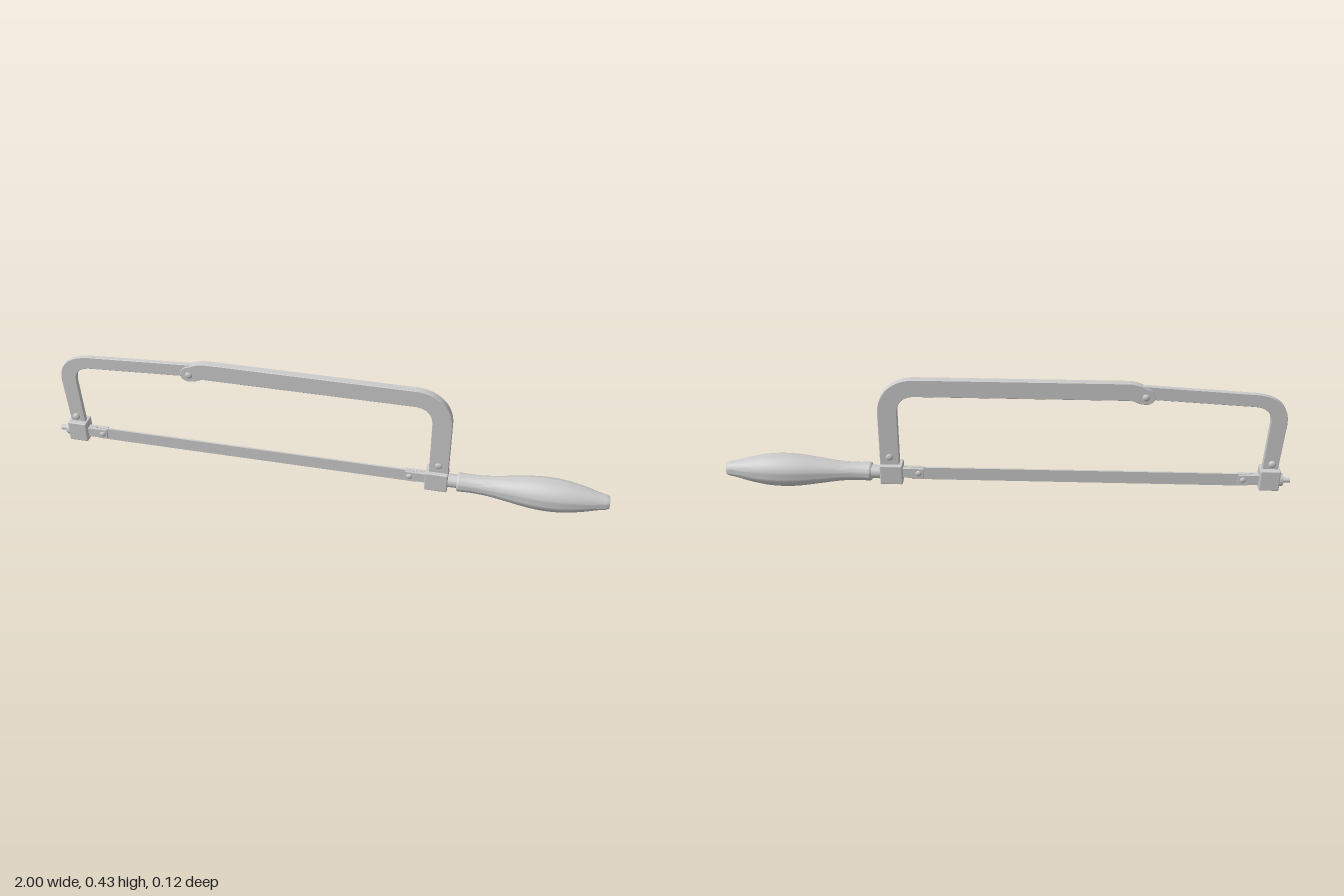
import * as THREE from 'three';
import { RoundedBoxGeometry } from 'three/addons/geometries/RoundedBoxGeometry.js';
import { toCreasedNormals } from 'three/addons/utils/BufferGeometryUtils.js';

export function createModel() {
  const model = new THREE.Group();
  const grey = new THREE.MeshStandardMaterial({ color: 0xcccccc });
  const axisY = 0.061, midZ = -0.002;

  function add(name, geometry, x = 0, y = 0, z = midZ) {
    const mesh = new THREE.Mesh(geometry, grey);
    mesh.name = name;
    mesh.position.set(x, y, z);
    model.add(mesh);
    return mesh;
  }

  // Flat plate cut from a side outline, centred on its thickness
  function plate(name, shape, depth) {
    const bevel = 0.0015;
    const g = new THREE.ExtrudeGeometry(shape, {
      depth: depth - 2 * bevel, bevelThickness: bevel, bevelSize: bevel,
      bevelOffset: -bevel, bevelSegments: 1, curveSegments: 14,
    });
    g.translate(0, 0, bevel - depth / 2);
    return add(name, toCreasedNormals(g, 0.5));
  }

  // Domed rivet showing on both faces
  function rivet(name, x, y, r, reach) {
    const group = new THREE.Group();
    group.name = name;
    group.position.set(x, y, midZ);
    const shaft = new THREE.Mesh(new THREE.CylinderGeometry(r, r, reach * 1.3, 20), grey);
    shaft.rotation.x = Math.PI / 2;
    group.add(shaft);
    for (const side of [1, -1]) {
      const dome = new THREE.Mesh(new THREE.SphereGeometry(r, 20, 6, 0, Math.PI * 2, 0, Math.PI / 2), grey);
      dome.rotation.x = side * Math.PI / 2;
      dome.scale.y = reach * 0.35 / r;
      dome.position.z = side * reach * 0.65;
      group.add(dome);
    }
    model.add(group);
  }

  // Cylinder lying along x
  function rod(name, x0, x1, r0, r1 = r0, sides = 24) {
    const g = new THREE.CylinderGeometry(r1, r0, x1 - x0, sides);
    g.rotateZ(-Math.PI / 2);
    return add(name, g, (x0 + x1) / 2, axisY);
  }

  // Rear half of the bow: leg, round corner, top bar and pivot lobe
  const rear = new THREE.Shape();
  rear.moveTo(0.445, 0.08);
  rear.lineTo(0.445, 0.3);
  rear.bezierCurveTo(0.445, 0.375, 0.39, 0.43, 0.315, 0.43);
  rear.lineTo(-0.42, 0.43);
  rear.quadraticCurveTo(-0.45, 0.427, -0.475, 0.413);
  rear.bezierCurveTo(-0.515, 0.408, -0.52, 0.352, -0.478, 0.352);
  rear.quadraticCurveTo(-0.455, 0.353, -0.44, 0.362);
  rear.quadraticCurveTo(-0.432, 0.366, -0.42, 0.366);
  rear.lineTo(0.315, 0.366);
  rear.bezierCurveTo(0.355, 0.366, 0.377, 0.34, 0.377, 0.3);
  rear.lineTo(0.377, 0.08);
  plate('rearFrame', rear, 0.027);

  // Front half of the bow, thinner and sloping toward the toe
  const front = new THREE.Shape();
  front.moveTo(-0.896, 0.08);
  front.lineTo(-0.906, 0.285);
  front.bezierCurveTo(-0.907, 0.33, -0.885, 0.346, -0.845, 0.349);
  front.lineTo(-0.46, 0.371);
  front.lineTo(-0.46, 0.419);
  front.lineTo(-0.83, 0.397);
  front.bezierCurveTo(-0.91, 0.395, -0.963, 0.365, -0.963, 0.285);
  front.lineTo(-0.95, 0.08);
  plate('frontFrame', front, 0.017);

  rivet('pivotRivet', -0.476, 0.379, 0.013, 0.02);
  rivet('frontLegRivet', -0.929, 0.128, 0.013, 0.019);
  rivet('rearLegRivet', 0.41, 0.128, 0.013, 0.019);

  // Square sockets at the feet of the bow
  add('frontBlock', new RoundedBoxGeometry(0.07, 0.078, 0.056, 2, 0.004), -0.925, 0.069);
  add('rearBlock', new RoundedBoxGeometry(0.08, 0.074, 0.056, 2, 0.004), 0.406, 0.062);

  // Blade with a square-cut outline
  add('blade', new THREE.BoxGeometry(1.19, 0.047, 0.007), -0.26, 0.059);

  // Forked blade holders: two cheeks and a stub, with a pin through the blade
  for (const [label, x0, dir] of [['front', -0.892, 1], ['rear', 0.368, -1]]) {
    const length = 0.074;
    for (const side of [1, -1]) {
      add(label + 'BladeClamp', new THREE.BoxGeometry(length, 0.036, 0.009),
        x0 + dir * length / 2, axisY + 0.002, midZ + side * 0.008);
    }
    add(label + 'ClampStub', new THREE.BoxGeometry(0.032, 0.034, 0.02), x0 + dir * 0.016, axisY + 0.002);
    rivet(label + 'BladePin', x0 + dir * 0.058, axisY + 0.002, 0.011, 0.018);
  }

  // Tension screw at the toe
  rod('tensionNut', -0.975, -0.958, 0.021, 0.023, 6);
  rod('tensionScrew', -1, -0.95, 0.009);

  // Ferrule and turned handle
  rod('ferrule', 0.44, 0.49, 0.024);
  const curve = new THREE.SplineCurve([
    [0.034, 0.484], [0.0325, 0.53], [0.036, 0.59], [0.046, 0.66], [0.056, 0.73],
    [0.0595, 0.79], [0.056, 0.85], [0.045, 0.91], [0.031, 0.965], [0.026, 0.99],
  ].map(([r, x]) => new THREE.Vector2(r, x)));
  const profile = [
    new THREE.Vector2(0, 0.478), new THREE.Vector2(0.031, 0.478),
    ...curve.getPoints(36), new THREE.Vector2(0.021, 1), new THREE.Vector2(0, 1),
  ];
  const handle = new THREE.LatheGeometry(profile, 40);
  handle.rotateZ(-Math.PI / 2);
  add('handle', toCreasedNormals(handle, 0.5), 0, axisY, 0);

  return model;
}
